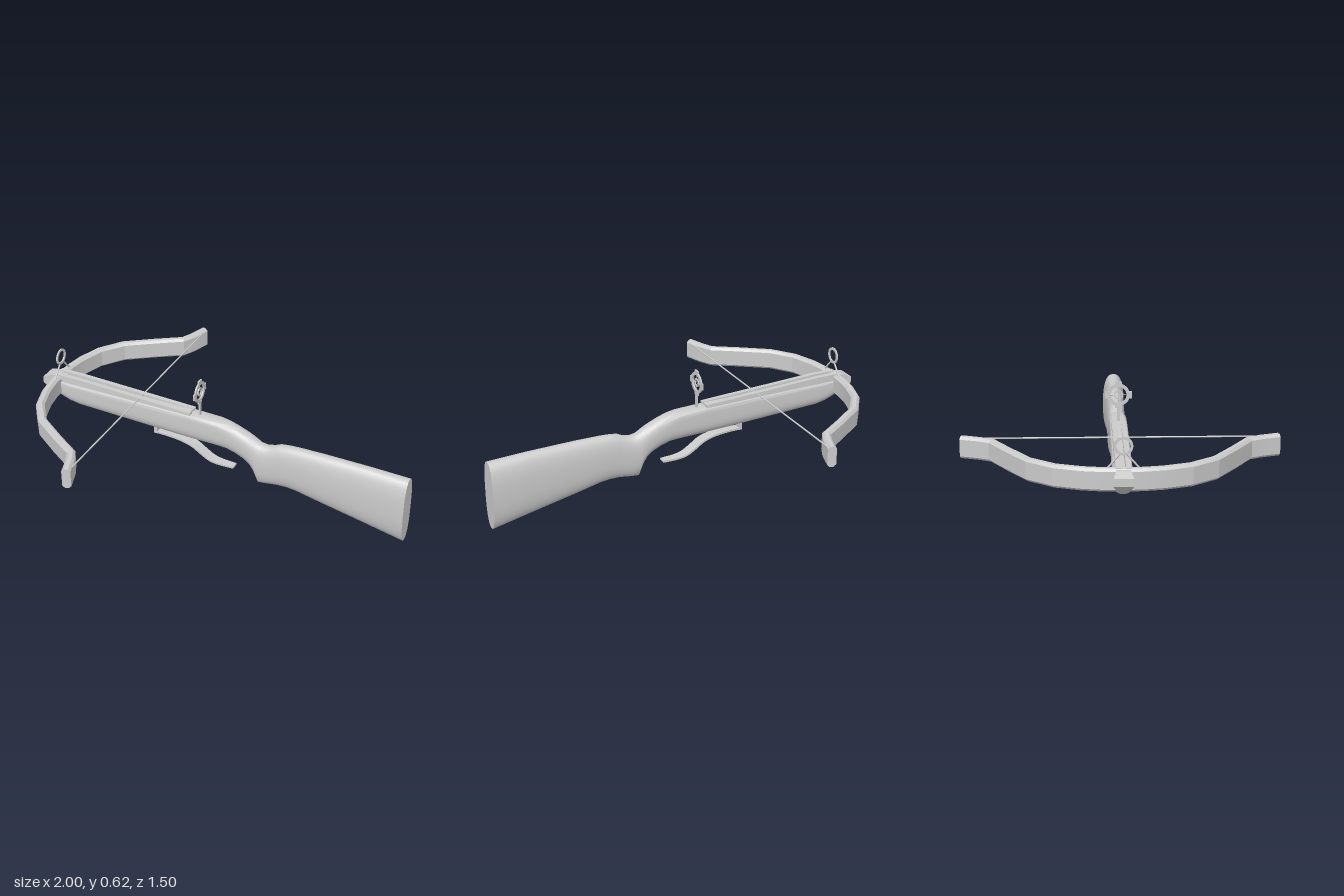
import * as THREE from 'three';
import { toCreasedNormals } from 'three/addons/utils/BufferGeometryUtils.js';

const material = new THREE.MeshStandardMaterial({ color: 0xcccccc, side: THREE.DoubleSide });

function part(name, geometry, parent, x = 0, y = 0, z = 0) {
  const mesh = new THREE.Mesh(geometry, material);
  mesh.name = name;
  mesh.position.set(x, y, z);
  parent.add(mesh);
  return mesh;
}

// Skins a list of equal-length rings ([x, y, z] points) and caps both ends
function loft(rings, crease) {
  const n = rings[0].length, pos = rings.flat(2), index = [];
  for (let i = 0; i < rings.length - 1; i++) {
    for (let j = 0; j < n; j++) {
      const k = (j + 1) % n, a = i * n, b = a + n;
      index.push(a + j, a + k, b + j, a + k, b + k, b + j);
    }
  }
  [rings[0], rings[rings.length - 1]].forEach((ring, end) => {
    const base = end * (rings.length - 1) * n, center = pos.length / 3;
    for (let c = 0; c < 3; c++) pos.push(ring.reduce((s, p) => s + p[c], 0) / n);
    for (let j = 0; j < n; j++) {
      const k = (j + 1) % n;
      index.push(center, base + (end ? j : k), base + (end ? k : j));
    }
  });
  const g = new THREE.BufferGeometry();
  g.setAttribute('position', new THREE.Float32BufferAttribute(pos, 3));
  g.setIndex(index);
  return toCreasedNormals(g, crease);
}

// Rounded upright section; the upper half may be squarer than the lower
function stockRing([x, top, bottom, w, squareTop]) {
  const ring = [], N = 36, h = (top - bottom) / 2, mid = (top + bottom) / 2;
  for (let j = 0; j < N; j++) {
    const a = (j / N) * Math.PI * 2, c = Math.cos(a), s = Math.sin(a);
    const e = 2 / (c > 0 ? squareTop : 2.5);
    ring.push([x, mid + h * Math.sign(c) * Math.abs(c) ** e, w * Math.sign(s) * Math.abs(s) ** e]);
  }
  return ring;
}

// Straight round bar between two points
function bar(name, from, to, radius, parent) {
  const a = new THREE.Vector3(...from), b = new THREE.Vector3(...to), d = b.clone().sub(a);
  const mesh = part(name, new THREE.CylinderGeometry(radius, radius, d.length(), 8), parent);
  mesh.position.copy(a).add(b).multiplyScalar(0.5);
  mesh.quaternion.setFromUnitVectors(new THREE.Vector3(0, 1, 0), d.normalize());
}

// Flat ring facing along x
function flatRing(outer, inner, depth) {
  const shape = new THREE.Shape().absarc(0, 0, outer, 0, Math.PI * 2);
  shape.holes.push(new THREE.Path().absarc(0, 0, inner, 0, Math.PI * 2, true));
  return new THREE.ExtrudeGeometry(shape, { depth, bevelEnabled: false, curveSegments: 16 })
    .translate(0, 0, -depth / 2).rotateY(Math.PI / 2);
}

export function createModel() {
  const model = new THREE.Group();
  model.name = 'crossbow';

  // Stock: x, top, bottom, half width, squareness of the top
  const sections = [
    [-0.95, 0.43, 0.365, 0.034, 8], [-0.9, 0.43, 0.332, 0.042, 8],
    [-0.85, 0.43, 0.315, 0.045, 8], [-0.8, 0.43, 0.305, 0.045, 8],
    [-0.36, 0.427, 0.286, 0.045, 8], [-0.15, 0.425, 0.278, 0.045, 7],
    [0, 0.424, 0.275, 0.045, 4.5], [0.05, 0.42, 0.272, 0.046, 3],
    [0.1, 0.406, 0.258, 0.047, 2.5], [0.15, 0.385, 0.235, 0.048, 2.5],
    [0.18, 0.371, 0.21, 0.048, 2.5], [0.2, 0.36, 0.178, 0.048, 2.5],
    [0.225, 0.347, 0.117, 0.048, 2.5], [0.26, 0.341, 0.12, 0.048, 2.5],
    [0.3, 0.351, 0.126, 0.048, 2.5], [0.33, 0.365, 0.13, 0.048, 2.5],
    [0.38, 0.371, 0.131, 0.048, 2.5], [0.43, 0.373, 0.125, 0.049, 2.5],
    [0.55, 0.374, 0.098, 0.05, 2.5], [0.8, 0.37, 0.045, 0.053, 2.5],
    [1, 0.361, 0.003, 0.06, 2.5],
  ];
  part('stock', loft(sections.map(stockRing), 0.75), model);

  // Flared nose in front of the bow
  const noseRing = (x, top, bottom, w) => [[x, top, -w], [x, top, w], [x, bottom, w], [x, bottom, -w]];
  part('nose', loft([
    noseRing(-1, 0.438, 0.402, 0.045), noseRing(-0.95, 0.455, 0.365, 0.033),
    noseRing(-0.88, 0.455, 0.36, 0.033),
  ], 0.3), model);

  // Bolt track: two tapered rails with a groove between them
  for (const side of [-1, 1]) {
    const rail = (x, top) => [[x, top, -0.012], [x, top, 0.012], [x, 0.415, 0.014], [x, 0.415, -0.014]];
    part('trackRail', loft([rail(-0.93, 0.464), rail(-0.8, 0.464), rail(-0.15, 0.438)], 0.3),
      model, 0, 0, side * 0.023);
  }
  part('trackFloor', new THREE.BoxGeometry(0.77, 0.018, 0.03), model, -0.54, 0.426, 0);

  // Bow: chamfered bar swept along a mirrored recurve
  const half = [[-0.92, 0], [-0.915, 0.09], [-0.9, 0.18], [-0.86, 0.3], [-0.775, 0.415],
    [-0.63, 0.515], [-0.505, 0.595], [-0.475, 0.655], [-0.445, 0.745]];
  const path = [...half.slice(1).reverse().map(([x, z]) => [x, -z]), ...half];
  const profile = [[0.053, -0.01], [0.053, 0.01], [0.041, 0.022], [-0.041, 0.022],
    [-0.053, 0.01], [-0.053, -0.01], [-0.041, -0.022], [0.041, -0.022]];
  const bowRings = path.map(([x, z], i) => {
    const p = path[Math.max(i - 1, 0)], q = path[Math.min(i + 1, path.length - 1)];
    const t = new THREE.Vector2(q[0] - p[0], q[1] - p[1]).normalize();
    return profile.map(([u, v]) => [x - t.y * v, 0.407 + u, z + t.x * v]);
  });
  part('bow', loft(bowRings, 0.25), model);
  bar('string', [-0.44, 0.445, -0.725], [-0.44, 0.445, 0.725], 0.004, model);

  // Trigger lever: thin curved strip hanging from a small bracket
  const curve = new THREE.CatmullRomCurve3([[-0.36, 0.259], [-0.27, 0.259], [-0.2, 0.253],
    [-0.14, 0.236], [-0.09, 0.204], [-0.04, 0.176], [0.01, 0.167], [0.085, 0.165]]
    .map(([x, y]) => new THREE.Vector3(x, y, 0)));
  const leverRings = curve.getPoints(32).map((p, i) => {
    const t = curve.getTangent(i / 32), w = 0.02 + 0.01 * Math.sin((i / 32) * Math.PI);
    return [[1, -1], [1, 1], [-1, 1], [-1, -1]]
      .map(([u, v]) => [p.x - t.y * u * 0.005, p.y + t.x * u * 0.005, v * w]);
  });
  part('triggerLever', loft(leverRings, 0.5), model);
  part('triggerBracket', new THREE.BoxGeometry(0.018, 0.045, 0.04), model, -0.355, 0.275, 0);

  // Rear sight: post, ring with four lugs, small inner ring and spokes
  const rear = new THREE.Group();
  rear.name = 'rearSight';
  rear.position.set(-0.11, 0.557, 0);
  model.add(rear);
  part('sightRing', flatRing(0.056, 0.04, 0.008), rear);
  part('innerRing', flatRing(0.023, 0.016, 0.006), rear);
  for (let i = 0; i < 4; i++) {
    const a = (i * Math.PI) / 2, c = Math.cos(a), s = Math.sin(a);
    const lug = part('lug', new THREE.BoxGeometry(0.008, 0.016, 0.034), rear, 0, c * 0.058, s * 0.058);
    lug.rotation.x = a;
    bar('spoke', [0, c * 0.008, s * 0.008], [0, c * 0.045, s * 0.045], 0.002, rear);
  }
  part('post', new THREE.BoxGeometry(0.009, 0.095, 0.014), rear, 0, -0.097, 0);

  // Front sight: ring on two splayed legs
  const front = new THREE.Group();
  front.name = 'frontSight';
  front.position.set(-0.91, 0.557, 0);
  model.add(front);
  part('sightRing', flatRing(0.043, 0.031, 0.007), front);
  for (const side of [-1, 1]) {
    bar('leg', [0, -0.1, side * 0.07], [0, -0.032, side * 0.012], 0.0045, front);
  }
  return model;
}
